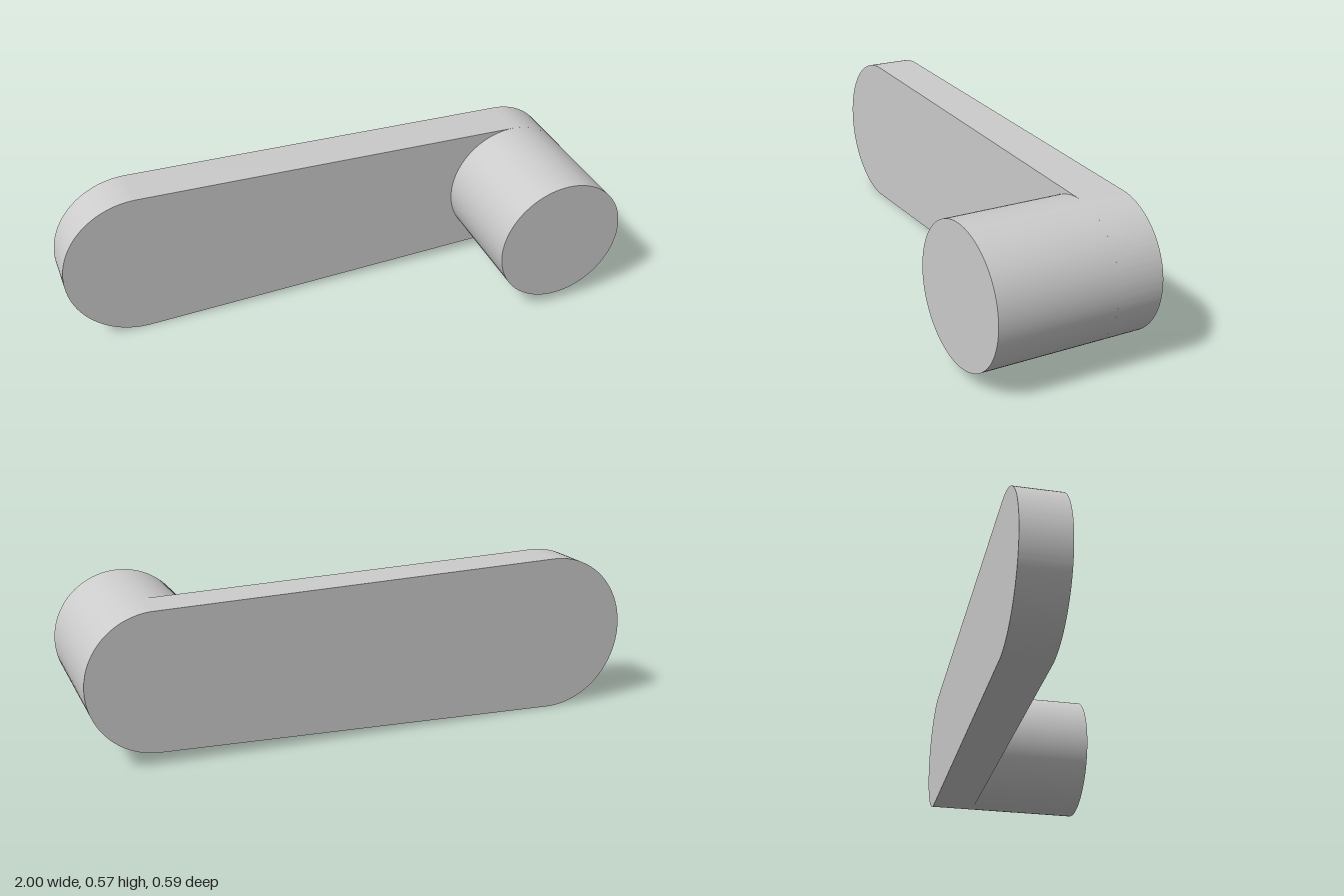
import * as THREE from 'three';
import { toCreasedNormals } from 'three/addons/utils/BufferGeometryUtils.js';

export function createModel() {
  const group = new THREE.Group();
  const material = new THREE.MeshStandardMaterial({ color: 0xcccccc });

  const bigRadius = 0.284, smallRadius = 0.243;
  const bigX = -1 + bigRadius, smallX = 1 - smallRadius;
  const centerY = bigRadius;
  const back = -0.296, armFront = -0.131, front = 0.296;

  // Flat arm: two round ends joined by their common tangents
  const tangent = Math.acos((bigRadius - smallRadius) / (smallX - bigX));
  const outline = new THREE.Shape();
  outline.absarc(bigX, centerY, bigRadius, tangent, 2 * Math.PI - tangent, false);
  outline.absarc(smallX, centerY, smallRadius, -tangent, tangent, false);
  const armGeometry = new THREE.ExtrudeGeometry(outline, {
    depth: armFront - back,
    bevelEnabled: false,
    curveSegments: 48,
  });
  const arm = new THREE.Mesh(toCreasedNormals(armGeometry, 0.5), material);
  arm.name = 'arm';
  arm.position.z = back;
  group.add(arm);

  // Round stub projecting forward, flush with the arm's narrow end
  const length = front - armFront;
  const stub = new THREE.Mesh(
    new THREE.CylinderGeometry(smallRadius, smallRadius, length, 96), material);
  stub.name = 'stub';
  stub.rotation.x = Math.PI / 2;
  stub.position.set(smallX, centerY, armFront + length / 2);
  group.add(stub);

  return group;
}
